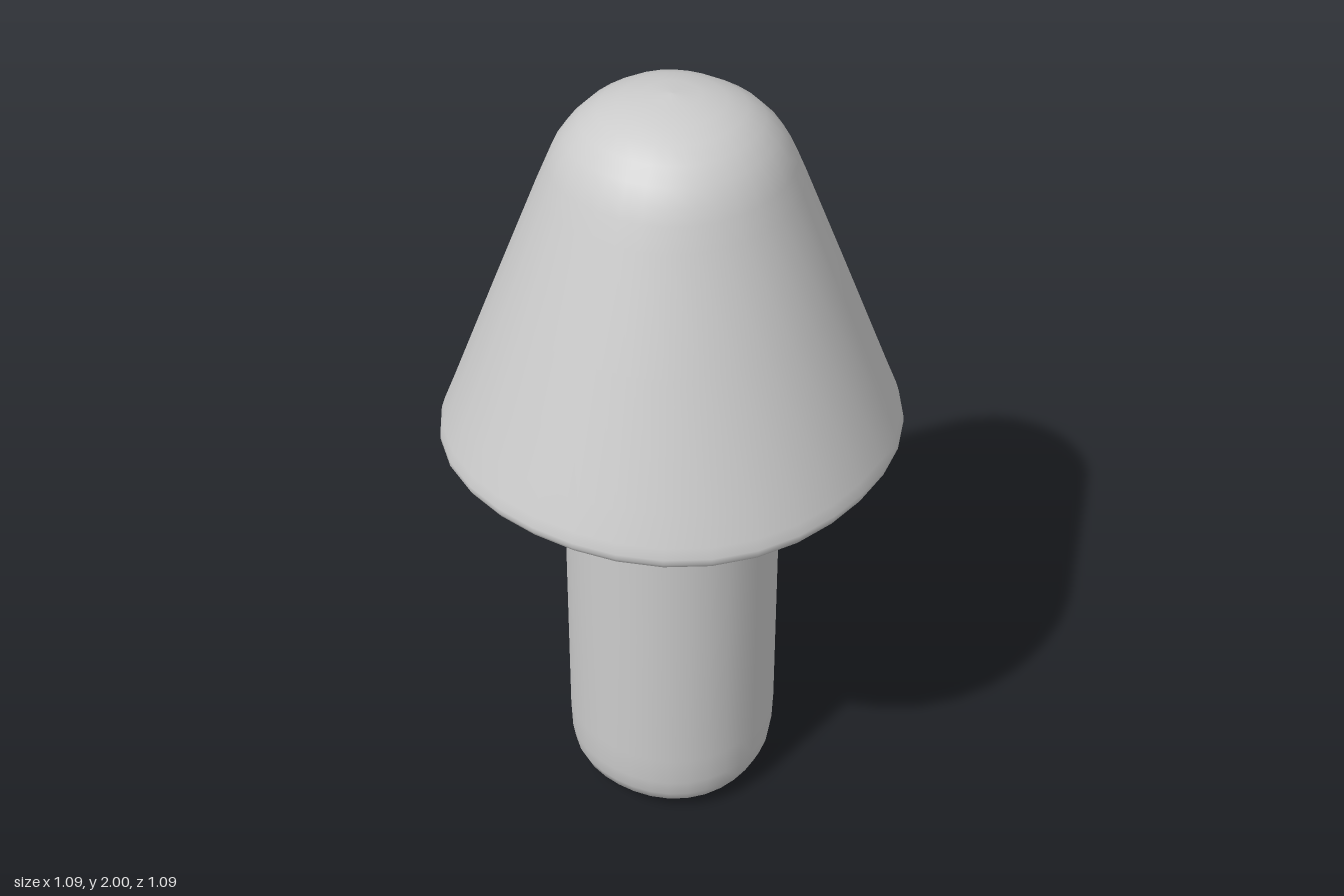
import * as THREE from 'three';

const material = new THREE.MeshStandardMaterial({ color: 0xcccccc });

// Turned part from a [radius, height] profile (bottom to top), slightly fuller on the diagonals
function turned(name, profile) {
  const geometry = new THREE.LatheGeometry(profile.map(([r, y]) => new THREE.Vector2(r, y)), 32);
  const pos = geometry.attributes.position;
  for (let i = 0; i < pos.count; i++) {
    const x = pos.getX(i), z = pos.getZ(i);
    const swell = 1 + 0.016 * (1 - Math.cos(4 * Math.atan2(z, x))) / 2 * 2;
    pos.setX(i, x * swell);
    pos.setZ(i, z * swell);
  }
  const mesh = new THREE.Mesh(geometry, material);
  mesh.name = name;
  return mesh;
}

export function createModel() {
  const group = new THREE.Group();
  group.name = 'mushroomPeg';

  // Straight stem with a softly rounded, slightly domed foot
  group.add(turned('stem', [
    [0, 0], [0.1, 0.006], [0.17, 0.014], [0.21, 0.025], [0.237, 0.045],
    [0.25, 0.075], [0.257, 0.12], [0.26, 0.2], [0.26, 0.6], [0.26, 1.09],
  ]));

  // Conical cap: flat underside, tight rounded rim, straight flank, domed tip
  group.add(turned('cap', [
    [0.26, 1.082], [0.5, 1.086], [0.525, 1.087], [0.538, 1.093], [0.545, 1.105],
    [0.545, 1.118], [0.537, 1.145], [0.51, 1.215], [0.4, 1.51], [0.3, 1.775],
    [0.278, 1.83], [0.262, 1.866], [0.238, 1.903], [0.205, 1.938], [0.165, 1.964],
    [0.12, 1.982], [0.065, 1.995], [0, 2],
  ]));

  return group;
}
